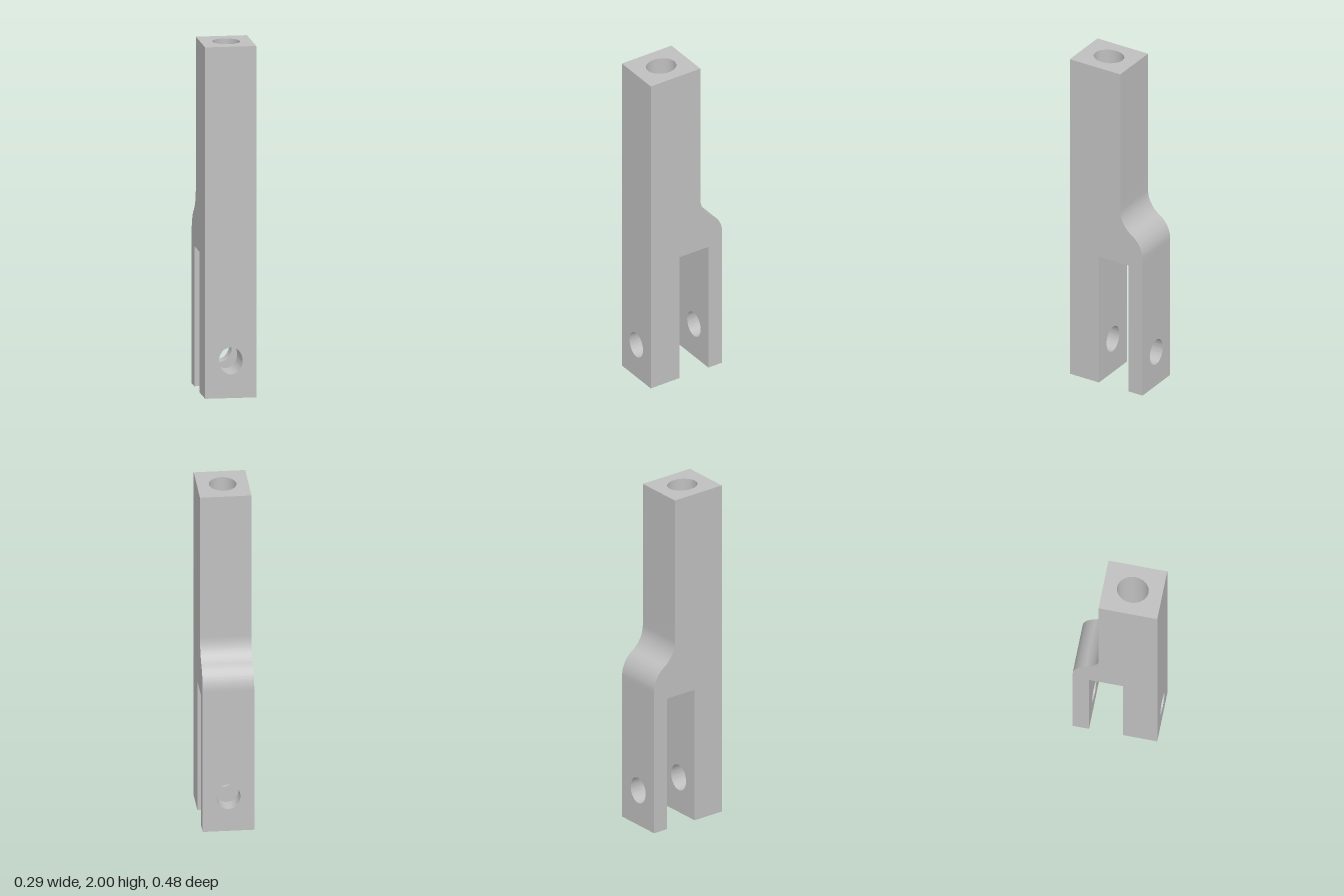
import * as THREE from 'three';
import { toCreasedNormals } from 'three/addons/utils/BufferGeometryUtils.js';

const HALF = 0.145, FRONT = 0.241, BACK = -0.241, NECK_BACK = -0.094;
const SLOT_FRONT = 0.047, SLOT_BACK = -0.148, SLOT_TOP = 0.8, BORE_FLOOR = 1.4, TOP = 2;

const extrude = (shape, depth) =>
  new THREE.ExtrudeGeometry(shape, { depth, bevelEnabled: false, curveSegments: 32 });

// Rectangle across the full width with one elliptical hole
function drilledPlate(y0, y1, holeY, rx, ry) {
  const s = new THREE.Shape();
  s.moveTo(-HALF, y0);
  s.lineTo(HALF, y0);
  s.lineTo(HALF, y1);
  s.lineTo(-HALF, y1);
  s.closePath();
  const hole = new THREE.Path();
  hole.absellipse(0, holeY, rx, ry, 0, Math.PI * 2, true);
  s.holes.push(hole);
  return s;
}

export function createModel() {
  const group = new THREE.Group();
  const steel = new THREE.MeshStandardMaterial({ color: 0xbfbfbf });
  steel.name = 'steel grey';
  const add = (name, geometry) => {
    const mesh = new THREE.Mesh(toCreasedNormals(geometry, 0.5), steel);
    mesh.name = name;
    group.add(mesh);
  };

  // Fork prongs with the cross-pin hole
  for (const [name, z0, z1] of [['frontProng', SLOT_FRONT, FRONT], ['backProng', BACK, SLOT_BACK]]) {
    const g = extrude(drilledPlate(0, SLOT_TOP, 0.212, 0.067, 0.077), z1 - z0);
    add(name, g.translate(0, 0, z0));
  }

  // Body with the S-curved shoulder, drawn as a (z, y) side profile
  const r = 0.161, a = 0.995, low = 0.865, high = 1.135;
  const side = new THREE.Shape();
  side.moveTo(FRONT, SLOT_TOP);
  side.lineTo(FRONT, BORE_FLOOR);
  side.lineTo(NECK_BACK, BORE_FLOOR);
  side.absarc(NECK_BACK - r, high, r, 0, -a, true);
  side.absarc(BACK + r, low, r, Math.PI - a, Math.PI, false);
  side.lineTo(BACK, SLOT_TOP);
  side.closePath();
  add('body', extrude(side, HALF * 2).rotateY(-Math.PI / 2).translate(HALF, 0, 0));

  // Neck with the blind bore in its top end
  const neck = drilledPlate(-FRONT, -NECK_BACK, -0.073, 0.077, 0.089);
  add('neck', extrude(neck, TOP - BORE_FLOOR).rotateX(-Math.PI / 2).translate(0, BORE_FLOOR, 0));

  return group;
}
